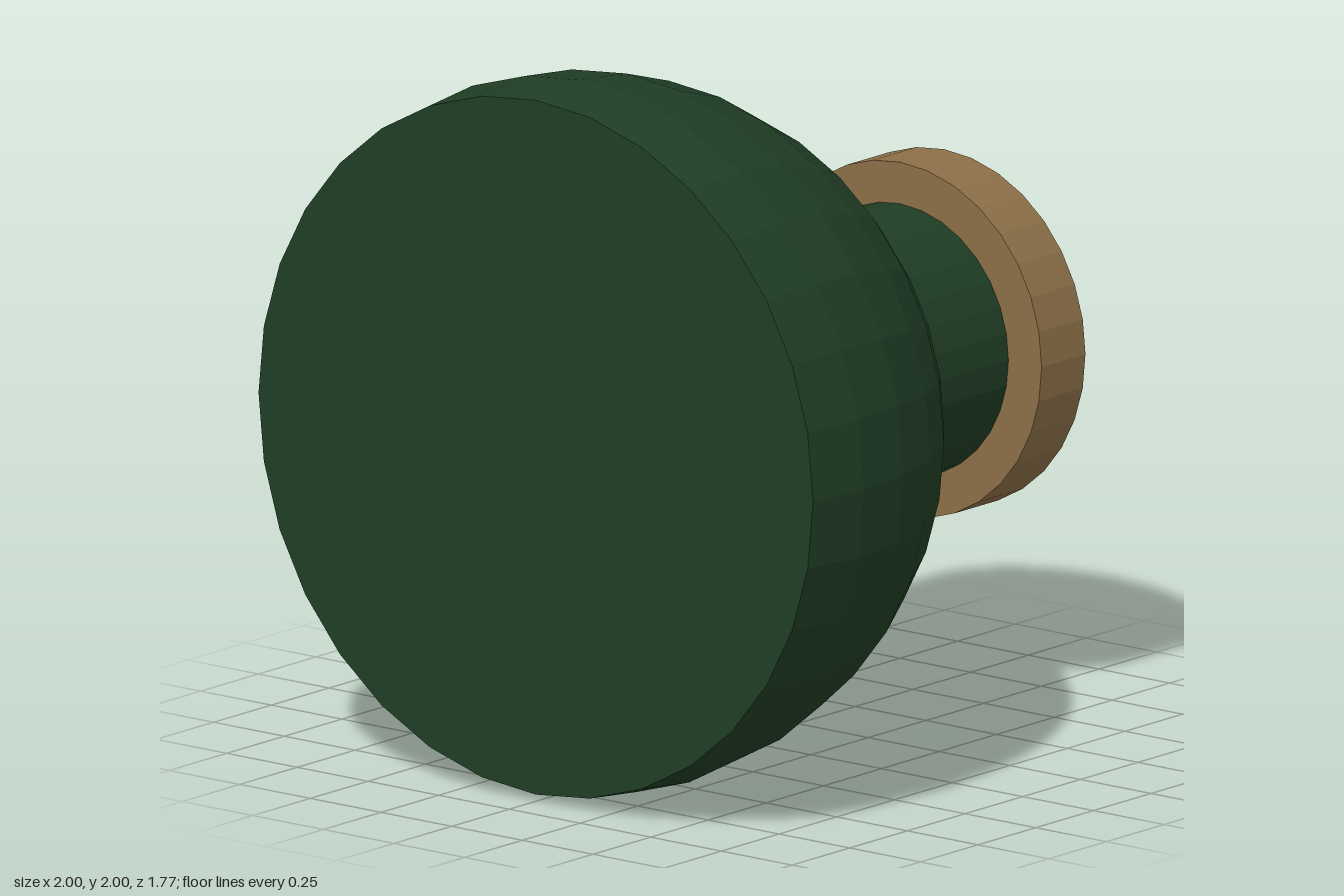
import * as THREE from 'three';

const SIDES = 32;
const STEP = (Math.PI * 2) / SIDES;
const CENTRE_Z = 0.69; // centre of the round bowl

export function createModel() {
  const group = new THREE.Group();
  const green = new THREE.MeshStandardMaterial({ color: 0x1f3d24, flatShading: true });
  const brown = new THREE.MeshStandardMaterial({ color: 0x8b6f47, flatShading: true });

  // Adds a part turned about an axis that points backwards, with y = 0 at the bowl centre
  const add = (name, geometry, material) => {
    geometry.rotateX(-Math.PI / 2);
    const mesh = new THREE.Mesh(geometry, material);
    mesh.name = name;
    mesh.position.set(0, 1, CENTRE_Z);
    group.add(mesh);
  };

  // Round bowl, cut flat at the front and where the neck begins
  const profile = [];
  for (let i = -1; i <= 6; i++) {
    profile.push(new THREE.Vector2(Math.cos(i * STEP), Math.sin(i * STEP)));
  }
  add('bowl', new THREE.LatheGeometry(profile, SIDES), green);

  // Flat front disc closing the bowl
  const disc = new THREE.CircleGeometry(profile[0].x, SIDES);
  disc.rotateX(Math.PI / 2).translate(0, profile[0].y, 0);
  add('frontDisc', disc, green);

  // Neck between the bowl and the stopper
  const neckStart = profile[7].y, neckEnd = 1.385, neckRadius = profile[7].x;
  const neck = new THREE.CylinderGeometry(neckRadius, neckRadius, neckEnd - neckStart, SIDES, 1, true);
  neck.translate(0, (neckStart + neckEnd) / 2, 0);
  add('neck', neck, green);

  // Wide stopper at the back
  const stopper = new THREE.CylinderGeometry(0.5, 0.5, 0.19, SIDES);
  stopper.translate(0, neckEnd + 0.095, 0);
  add('stopper', stopper, brown);

  return group;
}
